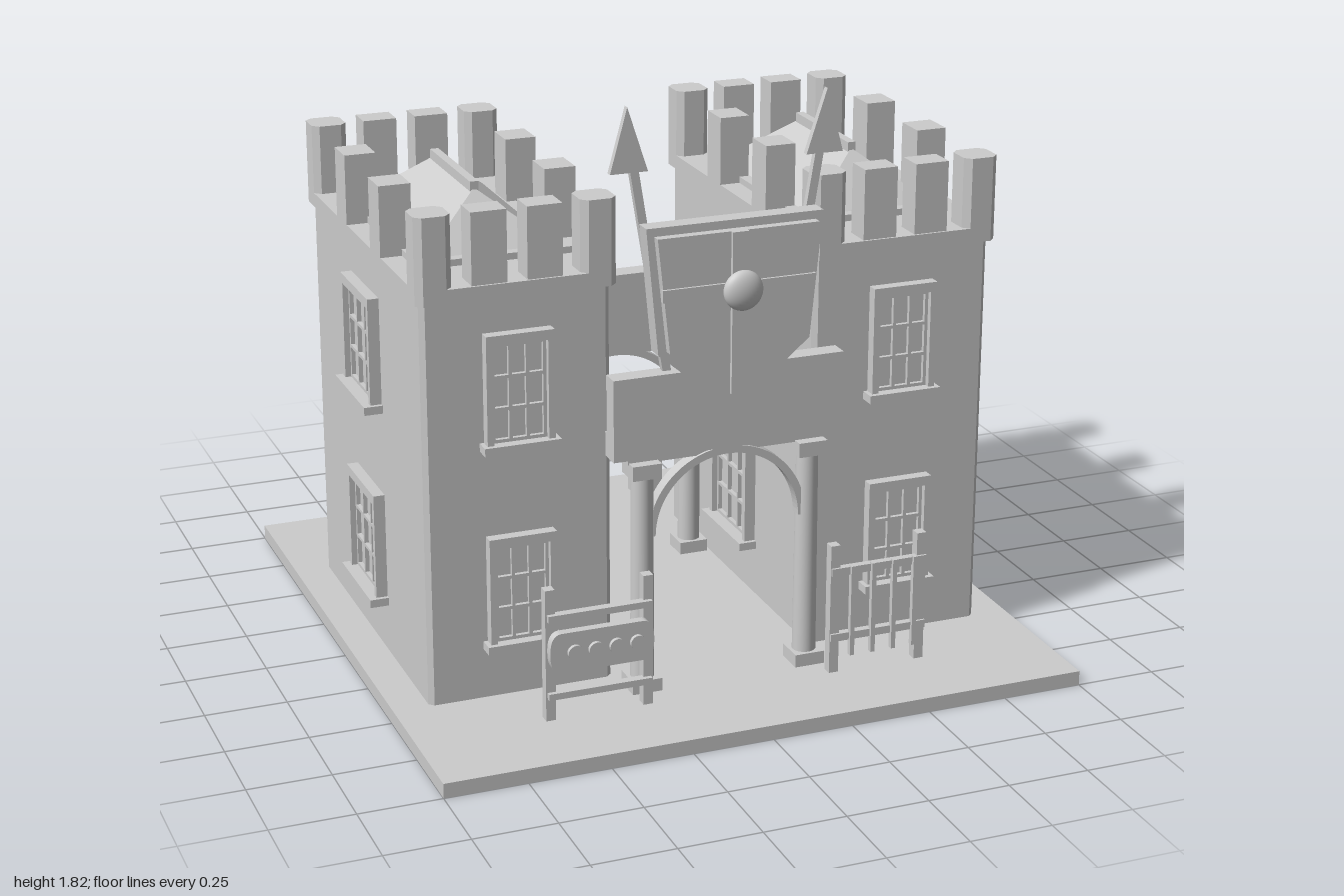
import * as THREE from 'three';
import { ConvexGeometry } from 'three/addons/geometries/ConvexGeometry.js';

const stone = new THREE.MeshStandardMaterial({ color: 0xcccccc });
stone.name = 'pale grey stone';

function add(parent, name, geometry, x = 0, y = 0, z = 0) {
  const mesh = new THREE.Mesh(geometry, stone);
  mesh.name = name;
  mesh.position.set(x, y, z);
  parent.add(mesh);
  return mesh;
}

// Box given by its extents
function box(parent, name, x0, x1, y0, y1, z0, z1) {
  return add(parent, name, new THREE.BoxGeometry(x1 - x0, y1 - y0, z1 - z0),
    (x0 + x1) / 2, (y0 + y1) / 2, (z0 + z1) / 2);
}

function group(parent, name, x = 0, y = 0, z = 0) {
  const g = new THREE.Group();
  g.name = name;
  g.position.set(x, y, z);
  parent.add(g);
  return g;
}

function extrude(points, depth) {
  const shape = new THREE.Shape(points.map(([x, y]) => new THREE.Vector2(x, y)));
  return new THREE.ExtrudeGeometry(shape, { depth, bevelEnabled: false });
}

// Upright block with chamfered vertical corners, standing on its origin
function chamferBlock(w, d, h, c) {
  const a = w / 2, b = d / 2;
  return extrude([[-a + c, -b], [a - c, -b], [a, -b + c], [a, b - c],
    [a - c, b], [-a + c, b], [-a, b - c], [-a, -b + c]], h).rotateX(-Math.PI / 2);
}

// Window facing +z with its sill bottom at y = 0
function windowUnit(parent, x, y, z, turn, half, reach) {
  const g = group(parent, 'window', x, y, z);
  g.rotation.y = turn;
  const top = 0.355, t = 0.02;
  box(g, 'sill', -half - 0.013, half + 0.013, 0, 0.025, -0.01, reach);
  box(g, 'windowHead', -half, half, top - 0.03, top, -0.01, 0.035);
  for (const s of [-1, 1]) {
    const cx = s * (half - t / 2);
    box(g, 'jamb', cx - t / 2, cx + t / 2, 0.025, top - 0.03, -0.01, 0.035);
  }
  const inner = half - t, y0 = 0.025, y1 = top - 0.03;
  box(g, 'pane', -inner, inner, y0, y1, -0.01, 0.004);
  for (let i = 0; i < 4; i++) {
    const bx = -inner + 0.005 + i * (2 * inner - 0.01) / 3;
    const by = y0 + 0.005 + i * (y1 - y0 - 0.01) / 3;
    box(g, 'uprightBar', bx - 0.005, bx + 0.005, y0, y1, 0, 0.017);
    box(g, 'crossBar', -inner, inner, by - 0.005, by + 0.005, 0, 0.017);
  }
}

function tower(parent, side) {
  const g = group(parent, side > 0 ? 'leftTower' : 'rightTower', side * 0.605, 0, -0.04);
  add(g, 'towerBody', chamferBlock(0.57, 1.12, 1.24, 0.015), 0, 0.045, 0);
  add(g, 'battlementSlab', chamferBlock(0.6, 1.17, 0.045, 0.02), 0, 1.28, 0);
  // Merlons around the edge
  for (const sx of [-1, 1]) {
    for (const sz of [-1, 1]) {
      add(g, 'cornerMerlon', chamferBlock(0.108, 0.108, 0.22, 0.02), sx * 0.246, 1.32, sz * 0.531);
      box(g, 'endMerlon', sx * 0.083 - 0.053, sx * 0.083 + 0.053, 1.32, 1.54, sz * 0.535 - 0.043, sz * 0.535 + 0.043);
      box(g, 'sideMerlon', sx * 0.252 - 0.048, sx * 0.252 + 0.048, 1.32, 1.54, sz * 0.178 - 0.053, sz * 0.178 + 0.053);
    }
  }
  // Hipped roof
  box(g, 'roofKerb', -0.235, 0.235, 1.32, 1.345, -0.38, 0.38);
  const corners = [];
  for (const sx of [-1, 1]) for (const sz of [-1, 1]) corners.push(new THREE.Vector3(sx * 0.2, 1.345, sz * 0.347));
  corners.push(new THREE.Vector3(0, 1.495, -0.19), new THREE.Vector3(0, 1.495, 0.19));
  add(g, 'hippedRoof', new ConvexGeometry(corners));
  box(g, 'roofRidge', -0.013, 0.013, 1.48, 1.515, -0.195, 0.195);
  // Windows on all four walls, two storeys
  for (const y of [0.2, 0.82]) {
    for (const s of [-1, 1]) {
      windowUnit(g, 0, y, s * 0.56, s > 0 ? 0 : Math.PI, 0.103, 0.05);
      windowUnit(g, s * 0.285, y, 0, s * Math.PI / 2, 0.145, 0.058);
    }
  }
}

// Columns and round arch centred on the given z
function archway(parent, name, z) {
  const g = group(parent, name, 0, 0, z);
  for (const s of [-1, 1]) {
    const x = s * 0.262;
    box(g, 'columnBase', x - 0.047, x + 0.047, 0.045, 0.085, -0.047, 0.047);
    add(g, 'columnShaft', new THREE.CylinderGeometry(0.033, 0.036, 0.64, 24), x, 0.405, 0);
    box(g, 'columnCapital', x - 0.045, x + 0.045, 0.72, 0.765, -0.045, 0.045);
  }
  const arch = new THREE.Shape();
  arch.absarc(0, 0.53, 0.25, 0, Math.PI, false);
  arch.absarc(0, 0.53, 0.227, Math.PI, 0, true);
  add(g, 'archRing', new THREE.ExtrudeGeometry(arch, { depth: 0.04, bevelEnabled: false, curveSegments: 24 }), 0, 0, -0.02);
  return g;
}

function shieldPlate(w, top, shoulder, lowW, tip) {
  return [[0, tip], [lowW, shoulder], [w, top], [-w, top], [-lowW, shoulder]];
}

export function createModel() {
  const model = new THREE.Group();
  model.name = 'castleGate';
  box(model, 'groundSlab', -1, 1, 0, 0.045, -1, 1);
  tower(model, 1);
  tower(model, -1);

  // Front gate
  const front = archway(model, 'frontGate', 0.62);
  box(front, 'lintelBoard', -0.36, 0.36, 0.855, 1.03, -0.03, 0.03);
  box(front, 'lintelBand', -0.36, 0.36, 0.78, 0.855, -0.04, 0.03);
  box(front, 'lintelSupport', -0.31, 0.31, 0.76, 0.84, -0.1, 0.012);

  // Rear gate
  const rear = archway(model, 'rearGate', -0.31);
  box(rear, 'rearLintel', -0.33, 0.33, 0.86, 1.03, -0.035, 0.035);
  box(rear, 'rearLintelBand', -0.33, 0.33, 0.76, 0.86, -0.027, 0.027);

  // Shield with cross and boss
  const shield = group(model, 'shield');
  add(shield, 'shieldBack', extrude(shieldPlate(0.272, 1.48, 1.1, 0.235, 0.905), 0.055), 0, 0, 0.625);
  add(shield, 'shieldFace', extrude(shieldPlate(0.248, 1.455, 1.11, 0.21, 0.945), 0.03), 0, 0, 0.678);
  box(shield, 'crossUpright', -0.025, 0.025, 0.97, 1.455, 0.7, 0.72);
  box(shield, 'crossBar', -0.235, 0.235, 1.268, 1.305, 0.7, 0.716);
  add(shield, 'shieldBoss', new THREE.SphereGeometry(0.06, 32, 20).scale(1, 1, 0.5), 0, 1.287, 0.74);

  // Spears behind the shield
  for (const s of [-1, 1]) {
    const spear = group(model, 'spear', 0, 0, 0.6);
    const a = [s * 0.185, 1.03], b = [s * 0.285, 1.64], w = 0.013;
    const shaft = [[a[0] - w, a[1]], [a[0] + w, a[1]], [b[0] + w, b[1]], [b[0] - w, b[1]]];
    add(spear, 'spearShaft', extrude(shaft, 0.02));
    add(spear, 'spearHead', extrude([[s * 0.3 - 0.057, 1.63], [s * 0.3 + 0.057, 1.63], [s * 0.305, 1.82]], 0.02));
  }

  // Sign on two posts
  const sign = group(model, 'signStand');
  for (const x of [-0.59, -0.288]) box(sign, 'signPost', x - 0.015, x + 0.015, 0.045, 0.455, 0.706, 0.738);
  for (const y of [0.37, 0.125]) box(sign, 'signRail', -0.6, -0.28, y - 0.01, y + 0.01, 0.725, 0.752);
  const board = new THREE.Shape();
  const bx = -0.44, by = 0.265, hw = 0.16, hh = 0.062, r = 0.035;
  board.moveTo(bx - hw + r, by - hh);
  board.lineTo(bx + hw - r, by - hh);
  board.quadraticCurveTo(bx + hw, by - hh, bx + hw, by);
  board.quadraticCurveTo(bx + hw, by + hh, bx + hw - r, by + hh);
  board.lineTo(bx - hw + r, by + hh);
  board.quadraticCurveTo(bx - hw, by + hh, bx - hw, by);
  board.quadraticCurveTo(bx - hw, by - hh, bx - hw + r, by - hh);
  add(sign, 'signBoard', new THREE.ExtrudeGeometry(board, { depth: 0.027, bevelEnabled: false }), 0, 0, 0.738);
  for (let i = 0; i < 4; i++) {
    add(sign, 'signStud', new THREE.CylinderGeometry(0.023, 0.023, 0.02, 20).rotateX(Math.PI / 2), -0.525 + i * 0.064, by, 0.767);
  }

  // Barred fence
  const fence = group(model, 'fence');
  for (const x of [0.308, 0.59]) box(fence, 'fencePost', x - 0.015, x + 0.015, 0.045, 0.455, 0.706, 0.738);
  for (const y of [0.372, 0.16]) box(fence, 'fenceRail', 0.295, 0.605, y - 0.012, y + 0.012, 0.722, 0.745);
  for (let i = 0; i < 4; i++) {
    const x = 0.36 + i * 0.068;
    box(fence, 'fenceBar', x - 0.007, x + 0.007, 0.1, 0.388, 0.738, 0.755);
  }

  // Row of bollards at the rear
  for (let i = -2; i <= 2; i++) box(model, 'bollard', i * 0.3 - 0.05, i * 0.3 + 0.05, 0.06, 0.34, -0.838, -0.772);
  return model;
}
